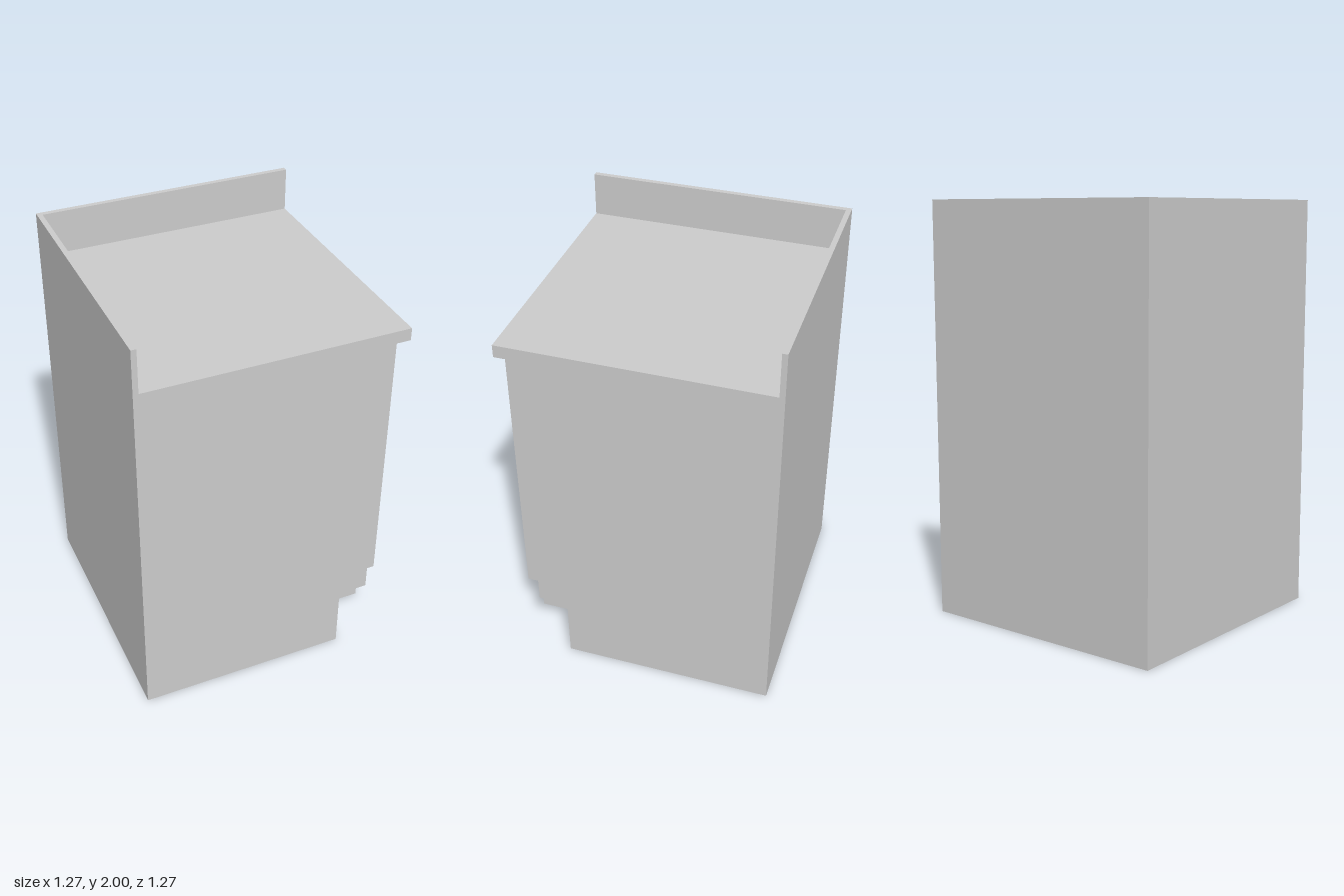
import * as THREE from 'three';

const H = 0.635; // half width of the square footprint
const material = new THREE.MeshStandardMaterial({ color: 0xcccccc, flatShading: true });

// Extrudes a floor outline of [x, z] points upward from y0 to y1
function layer(name, outline, y0, y1) {
  const shape = new THREE.Shape(outline.map(([x, z]) => new THREE.Vector2(x, -z)));
  const geometry = new THREE.ExtrudeGeometry(shape, { depth: y1 - y0, bevelEnabled: false });
  geometry.rotateX(-Math.PI / 2).translate(0, y0, 0);
  const mesh = new THREE.Mesh(geometry, material);
  mesh.name = name;
  return mesh;
}

// Square outline whose front left corner is cut back to the coordinate c
const notched = (c) => [[-H, -H], [H, -H], [H, c], [c, c], [c, H], [-H, H]];

export function createModel() {
  const group = new THREE.Group();
  group.name = 'cornerCabinet';
  group.add(
    // Deep corner cut at the foot, shallow cut along the body
    layer('base', notched(0.385), 0, 0.32),
    layer('body', notched(0.53), 0.32, 1.73),
    // Full square top slab
    layer('countertop', [[-H, -H], [H, -H], [H, H], [-H, H]], 1.73, 1.79),
    // Thin L-shaped upstand along the back and right edges
    layer('backsplash', notched(-0.61), 1.79, 2)
  );
  return group;
}
